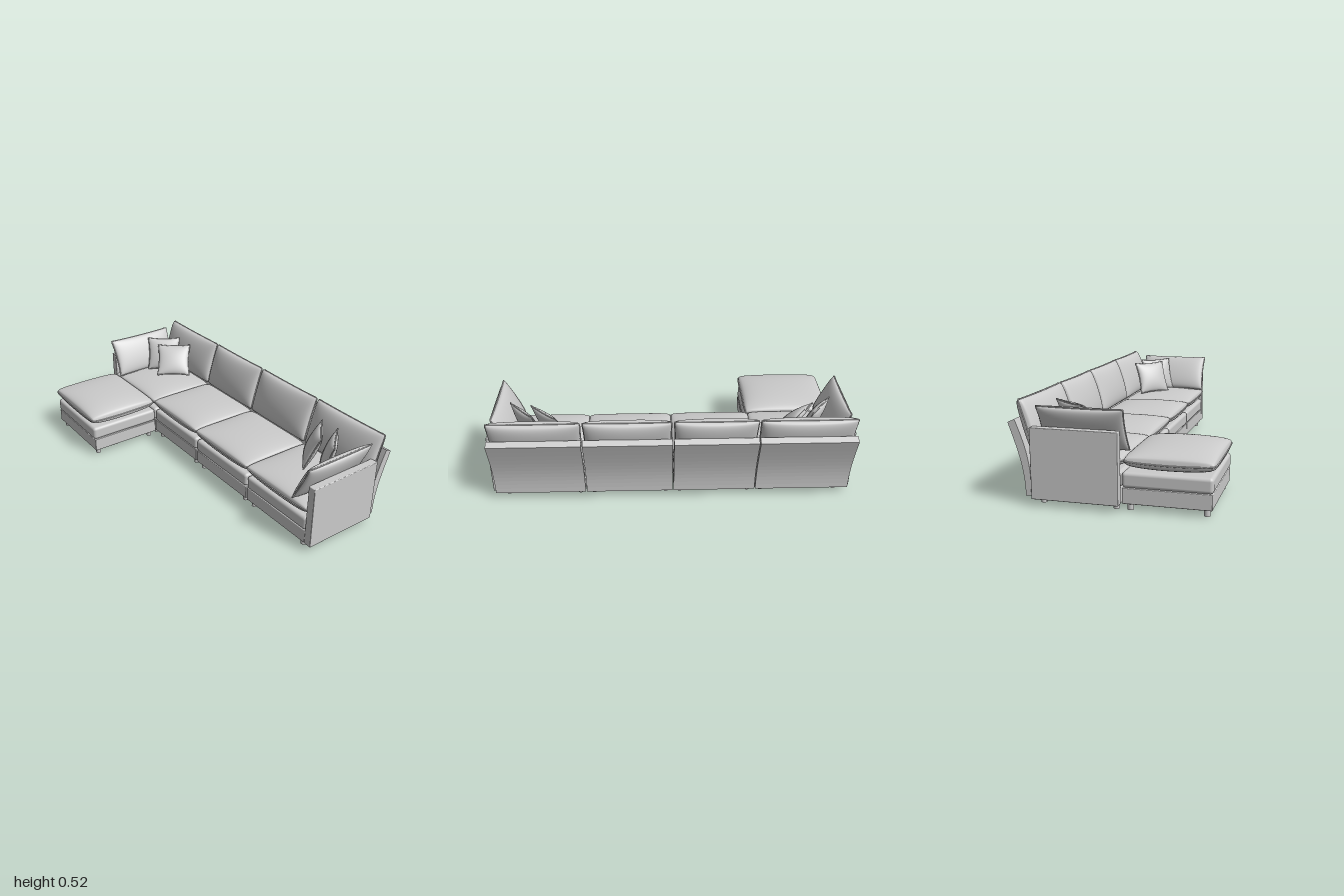
import * as THREE from 'three';
import { mergeGeometries } from 'three/addons/utils/BufferGeometryUtils.js';
import { RoundedBoxGeometry } from 'three/addons/geometries/RoundedBoxGeometry.js';

const material = new THREE.MeshStandardMaterial({ color: 0xcccccc, side: THREE.DoubleSide });

function add(parent, name, geometry, x = 0, y = 0, z = 0) {
  const mesh = new THREE.Mesh(geometry, material);
  mesh.name = name;
  mesh.position.set(x, y, z);
  parent.add(mesh);
  return mesh;
}

// Box given by its limits, with softened edges
function block(parent, name, x0, x1, y0, y1, z0, z1, r) {
  const geometry = new RoundedBoxGeometry(x1 - x0, y1 - y0, z1 - z0, 3, r);
  return add(parent, name, geometry, (x0 + x1) / 2, (y0 + y1) / 2, (z0 + z1) / 2);
}

// Stuffed cushion facing +z: two bulging faces joined by a piped seam.
// pinch draws the middles of the edges in, round cuts the corners back.
function cushionGeometry({ w, h, front, back, power, pinch = 0, round = 0, sag = 0 }) {
  const outline = (u, v) => {
    const corner = 1 - round * (u * v) ** 8;
    return [
      (w / 2) * u * (1 - pinch * (1 - v * v)) * corner,
      (h / 2) * v * (1 - pinch * (1 - u * u)) * corner,
      sag * (u * u + v * v - 1),
    ];
  };
  const face = (depth, flip) => {
    const g = new THREE.PlaneGeometry(2, 2, 24, 24);
    const p = g.attributes.position;
    for (let i = 0; i < p.count; i++) {
      const u = Math.sin((p.getX(i) * Math.PI) / 2) * flip;
      const v = Math.sin((p.getY(i) * Math.PI) / 2);
      const [x, y, z] = outline(u, v);
      const bulge = Math.max(0, (1 - u * u) * (1 - v * v)) ** power;
      const seam = z * Math.max(u * u, v * v) ** 3;
      p.setXYZ(i, x, y, seam + flip * depth * bulge);
    }
    g.computeVertexNormals();
    return g;
  };
  // Piping follows the outline around all four sides
  const points = [];
  for (let side = 0; side < 4; side++) {
    for (let i = 0; i < 12; i++) {
      const t = -1 + i / 6;
      const [u, v] = [[t, -1], [1, t], [-t, 1], [-1, -t]][side];
      points.push(new THREE.Vector3(...outline(u, v)));
    }
  }
  const piping = new THREE.TubeGeometry(new THREE.CatmullRomCurve3(points, true), 96, 0.004, 6, true);
  return mergeGeometries([face(front, 1), face(back, -1), piping]);
}

// Cushion turned by yaw about y and leaned back by tilt
function cushion(parent, name, shape, position, yaw, tilt, roll = 0) {
  const mesh = add(parent, name, cushionGeometry(shape), ...position);
  mesh.rotation.set(-tilt, yaw, roll, 'YXZ');
  return mesh;
}

// Plinth, mattress layer, seat cushion and four legs
function seatModule(parent, name, x0, x1, z0, z1, cushionZ0, top) {
  const group = new THREE.Group();
  group.name = name;
  parent.add(group);
  block(group, 'plinth', x0, x1, 0.035, 0.112, z0, z1, 0.004);
  block(group, 'seatDeck', x0, x1, 0.112, 0.19, z0 - 0.002, z1 + 0.004, 0.018);
  const shape = {
    w: x1 - x0 + 0.012, h: z1 + 0.012 - cushionZ0, front: top - 0.235, back: 0.047,
    power: 0.27, round: 0.03, pinch: 0.008, sag: 0.008,
  };
  const center = [(x0 + x1) / 2, 0.235, (cushionZ0 + z1 + 0.012) / 2];
  cushion(group, 'seatCushion', shape, center, 0, Math.PI / 2);
  for (const x of [x0 + 0.035, x1 - 0.035]) {
    for (const z of [z0 + 0.033, z1 - 0.03]) {
      add(group, 'leg', new THREE.CylinderGeometry(0.015, 0.015, 0.037, 20), x, 0.0185, z);
    }
  }
}

// Curved, leaning back panel: side profile extruded along x
function backPanel(parent, x0, x1) {
  const s = new THREE.Shape(); // shape x is -z, shape y is y
  s.moveTo(0.385, 0.05);
  s.lineTo(0.418, 0.045);
  s.bezierCurveTo(0.42, 0.17, 0.44, 0.24, 0.5, 0.405);
  s.lineTo(0.465, 0.422);
  s.bezierCurveTo(0.42, 0.31, 0.39, 0.24, 0.385, 0.05);
  const geometry = new THREE.ExtrudeGeometry(s, { depth: x1 - x0, bevelEnabled: false, curveSegments: 12 });
  geometry.rotateY(Math.PI / 2);
  add(parent, 'backPanel', geometry, x0, 0, 0);
}

export function createModel() {
  const sofa = new THREE.Group();
  sofa.name = 'sectionalSofa';

  // Four seats in a row: base limits, then limits of the back
  const seats = [
    [-0.955, -0.468, -0.985, -0.465],
    [-0.462, -0.008, -0.46, -0.008],
    [0.0, 0.474, 0.0, 0.475],
    [0.482, 0.955, 0.482, 0.98],
  ];
  for (const [x0, x1, b0, b1] of seats) {
    seatModule(sofa, 'seat', x0, x1, -0.385, 0.05, -0.37, 0.287);
    backPanel(sofa, b0, b1);
    const shape = {
      w: b1 - b0 - 0.004, h: 0.265, front: 0.056, back: 0.05, power: 0.3, pinch: 0.02, round: 0.01,
    };
    cushion(sofa, 'backCushion', shape, [(b0 + b1) / 2, 0.388, -0.407], 0, 0.29);
  }

  // Ottoman in front of the right-hand seat
  seatModule(sofa, 'ottoman', -0.955, -0.46, 0.057, 0.49, 0.062, 0.3);

  // Arms with a leaning cushion each
  for (const side of [-1, 1]) {
    const [x0, x1] = [0.955 * side, side].sort((a, b) => a - b);
    block(sofa, 'armPanel', x0, x1, 0.035, 0.388, -0.385, 0.052, 0.004);
    const shape = { w: 0.43, h: 0.235, front: 0.04, back: 0.036, power: 0.32, pinch: 0.03 };
    cushion(sofa, 'armCushion', shape, [0.915 * side, 0.382, -0.145], (-side * Math.PI) / 2, 0.45);
  }

  // Throw pillows: x, y, z, yaw, tilt
  const throwPillows = [
    [-0.67, 0.385, -0.23, 0.93, 0.75],
    [-0.79, 0.39, -0.23, 0.95, 0.4],
    [0.67, 0.38, -0.24, -0.78, 0.4],
    [0.795, 0.385, -0.235, -0.85, 0.3],
  ];
  for (const [x, y, z, yaw, tilt] of throwPillows) {
    const shape = { w: 0.21, h: 0.21, front: 0.032, back: 0.032, power: 0.45, pinch: 0.08 };
    cushion(sofa, 'throwPillow', shape, [x, y, z], yaw, tilt);
  }
  return sofa;
}
